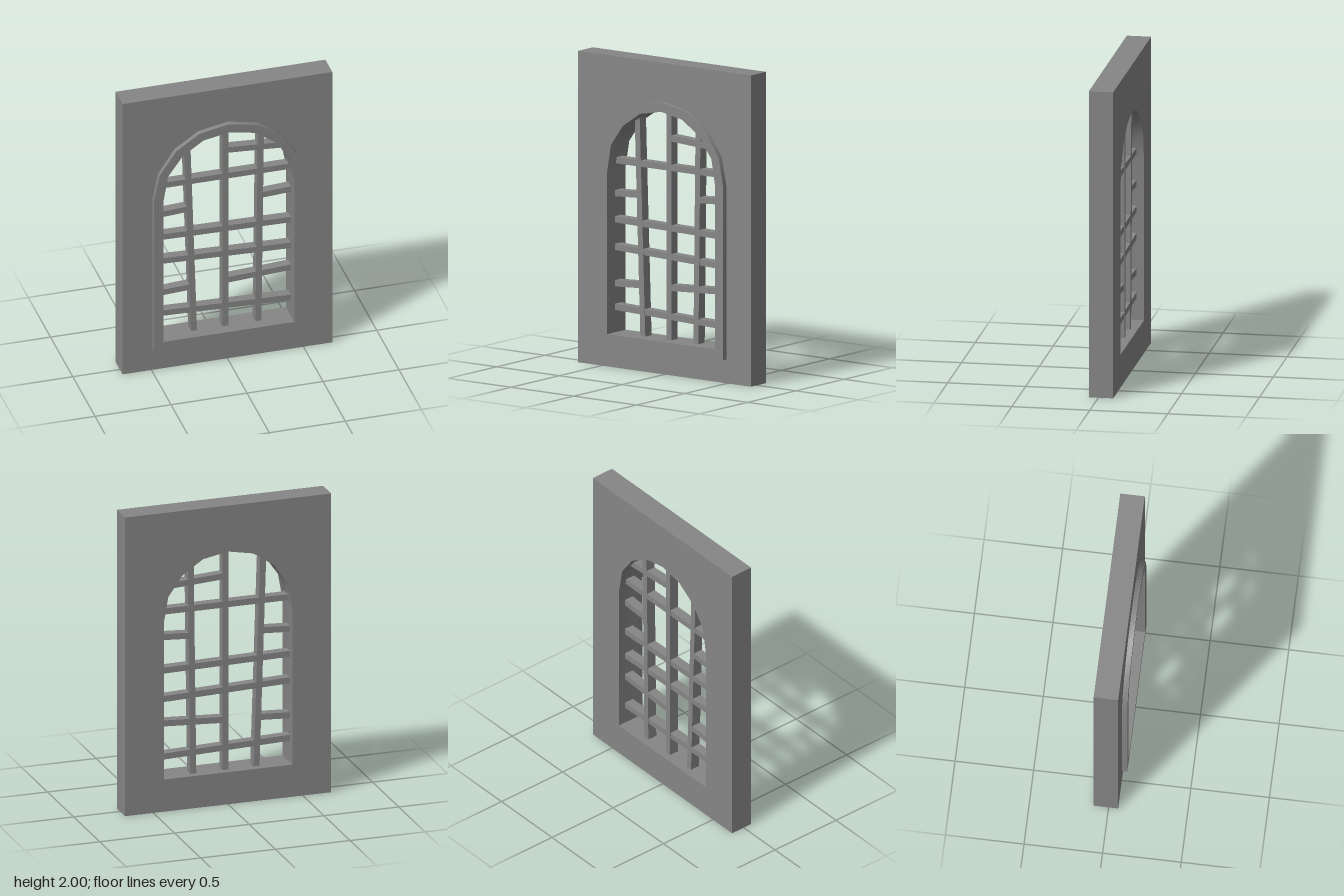
import * as THREE from 'three';
import { toCreasedNormals } from 'three/addons/utils/BufferGeometryUtils.js';

const BACK = -0.095, WALL_FRONT = 0.061, TRIM_FRONT = 0.095;
const BAR_Z = -0.016, BAR_WIDTH = 0.04, BAR_DEPTH = 0.065;

// Right half of each arched outline, from the sill up to the crown.
const INNER = [[0.43, 0.215], [0.43, 1.262], [0.4, 1.433], [0.304, 1.568], [0.167, 1.66], [0, 1.692]];
const OUTER = [[0.493, 0.153], [0.493, 1.27], [0.457, 1.446], [0.349, 1.608], [0.194, 1.714], [0, 1.752]];

// Mirrors a half outline into a closed arch.
function archPoints(half) {
  const left = half.slice(0, -1).reverse().map(([x, y]) => [-x, y]);
  return [...half, ...left].map(([x, y]) => new THREE.Vector2(x, y));
}

// Extrudes an outline, pierced by the window opening, from z0 to z1.
function piercedSlab(points, z0, z1) {
  const shape = new THREE.Shape(points);
  shape.holes.push(new THREE.Path(archPoints(INNER)));
  const geometry = new THREE.ExtrudeGeometry(shape, { depth: z1 - z0, bevelEnabled: false });
  geometry.translate(0, 0, z0);
  return toCreasedNormals(geometry, 0.6);
}

export function createModel() {
  const group = new THREE.Group();
  const material = new THREE.MeshStandardMaterial({ color: 0x868686 });

  function add(name, geometry) {
    const mesh = new THREE.Mesh(geometry, material);
    mesh.name = name;
    group.add(mesh);
    return mesh;
  }

  // Square bar running between two points in the window plane.
  function addBar(name, [x0, y0, x1, y1], depth) {
    const length = Math.hypot(x1 - x0, y1 - y0);
    const bar = add(name, new THREE.BoxGeometry(length, BAR_WIDTH, depth));
    bar.position.set((x0 + x1) / 2, (y0 + y1) / 2, BAR_Z);
    bar.rotation.z = Math.atan2(y1 - y0, x1 - x0);
  }

  // Wall panel with the arched opening
  const wall = [[-0.69, 0], [0.69, 0], [0.69, 2], [-0.69, 2]].map(([x, y]) => new THREE.Vector2(x, y));
  add('wall', piercedSlab(wall, BACK, WALL_FRONT));

  // Raised arched trim on the front
  add('archTrim', piercedSlab(archPoints(OUTER), WALL_FRONT, TRIM_FRONT));

  // Slightly crooked upright bars, ends sunk into the wall
  [
    [-0.206, 0.19, -0.253, 1.66],
    [0, 0.19, 0, 1.71],
    [0.216, 0.19, 0.234, 1.67],
  ].forEach((bar) => addBar('uprightBar', bar, BAR_DEPTH));

  // Full-width cross bars
  [
    [-0.45, 1.322, 0.45, 1.322],
    [-0.45, 0.942, 0.45, 0.926],
    [-0.45, 0.765, 0.45, 0.735],
    [-0.45, 0.38, 0.45, 0.35],
  ].forEach((bar) => addBar('crossBar', bar, BAR_DEPTH - 0.002));

  // Short cross bars spanning only part of the window
  [
    [-0.45, 1.108, -0.235, 1.12],
    [-0.45, 0.529, -0.215, 0.542],
    [0, 1.513, 0.41, 1.487],
    [0.23, 1.14, 0.45, 1.153],
    [0, 0.55, 0.45, 0.575],
  ].forEach((bar) => addBar('shortCrossBar', bar, BAR_DEPTH - 0.002));

  return group;
}
